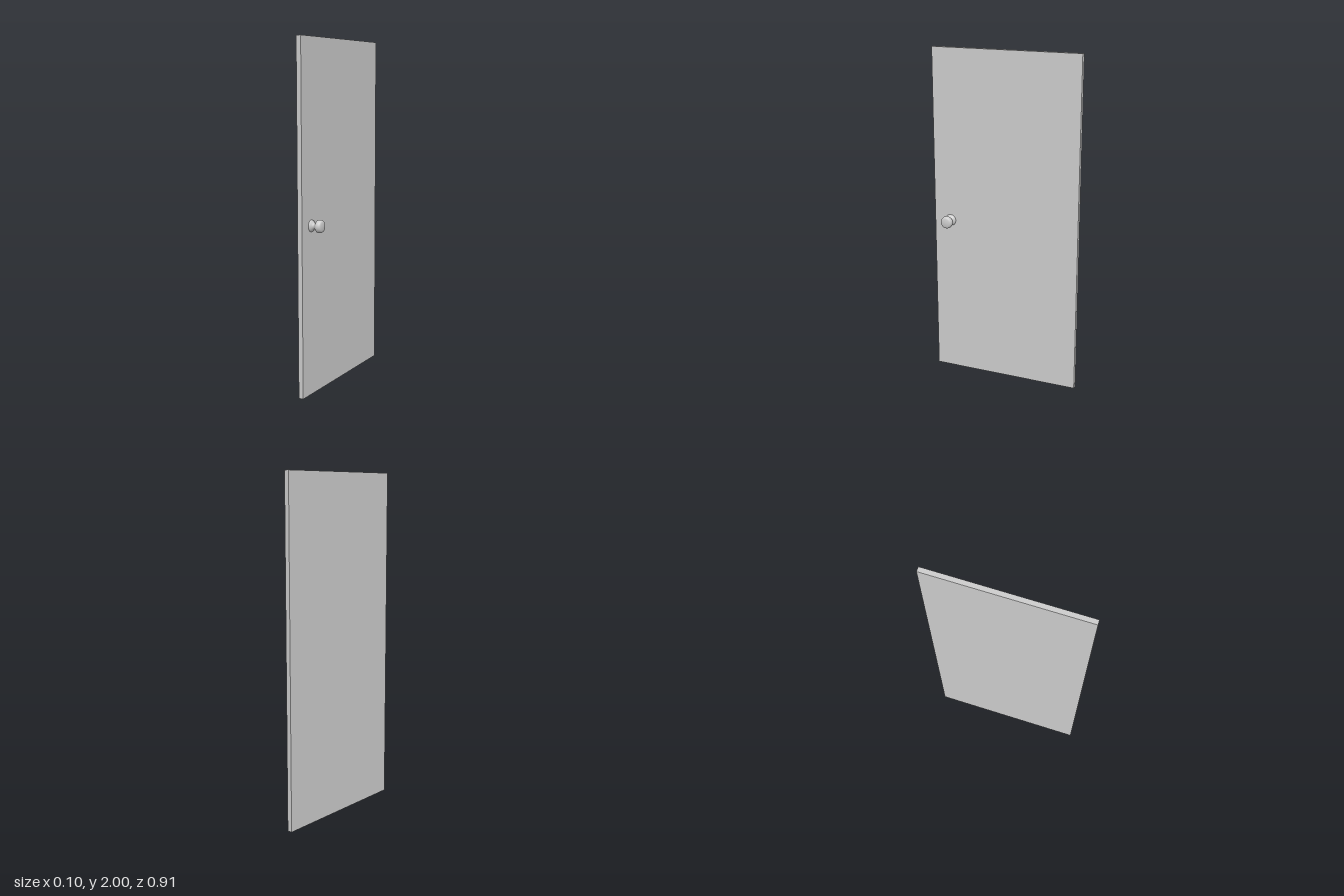
import * as THREE from 'three';

export function createModel() {
  const model = new THREE.Group();
  const material = new THREE.MeshStandardMaterial({ color: 0xcccccc });

  // Plain flat door slab
  const panel = new THREE.Mesh(new THREE.BoxGeometry(0.028, 2, 0.912), material);
  panel.name = 'doorPanel';
  panel.position.set(-0.038, 1, 0);
  model.add(panel);

  // Turned knob: flared foot, narrow neck, rounded head (radius, distance from door)
  const profile = new THREE.SplineCurve([
    [0.034, 0], [0.032, 0.005], [0.025, 0.012], [0.019, 0.018], [0.0175, 0.025],
    [0.021, 0.031], [0.03, 0.038], [0.0355, 0.045], [0.037, 0.053], [0.035, 0.063],
    [0.031, 0.07], [0.023, 0.0735], [0.012, 0.0755], [0, 0.0765],
  ].map(([r, d]) => new THREE.Vector2(r, d)));
  const points = profile.getPoints(40);
  points[points.length - 1].x = 0;
  const knob = new THREE.Mesh(new THREE.LatheGeometry(points, 40), material);
  knob.name = 'doorKnob';
  knob.rotation.z = -Math.PI / 2;
  knob.position.set(-0.0245, 0.967, 0.353);
  model.add(knob);

  return model;
}
